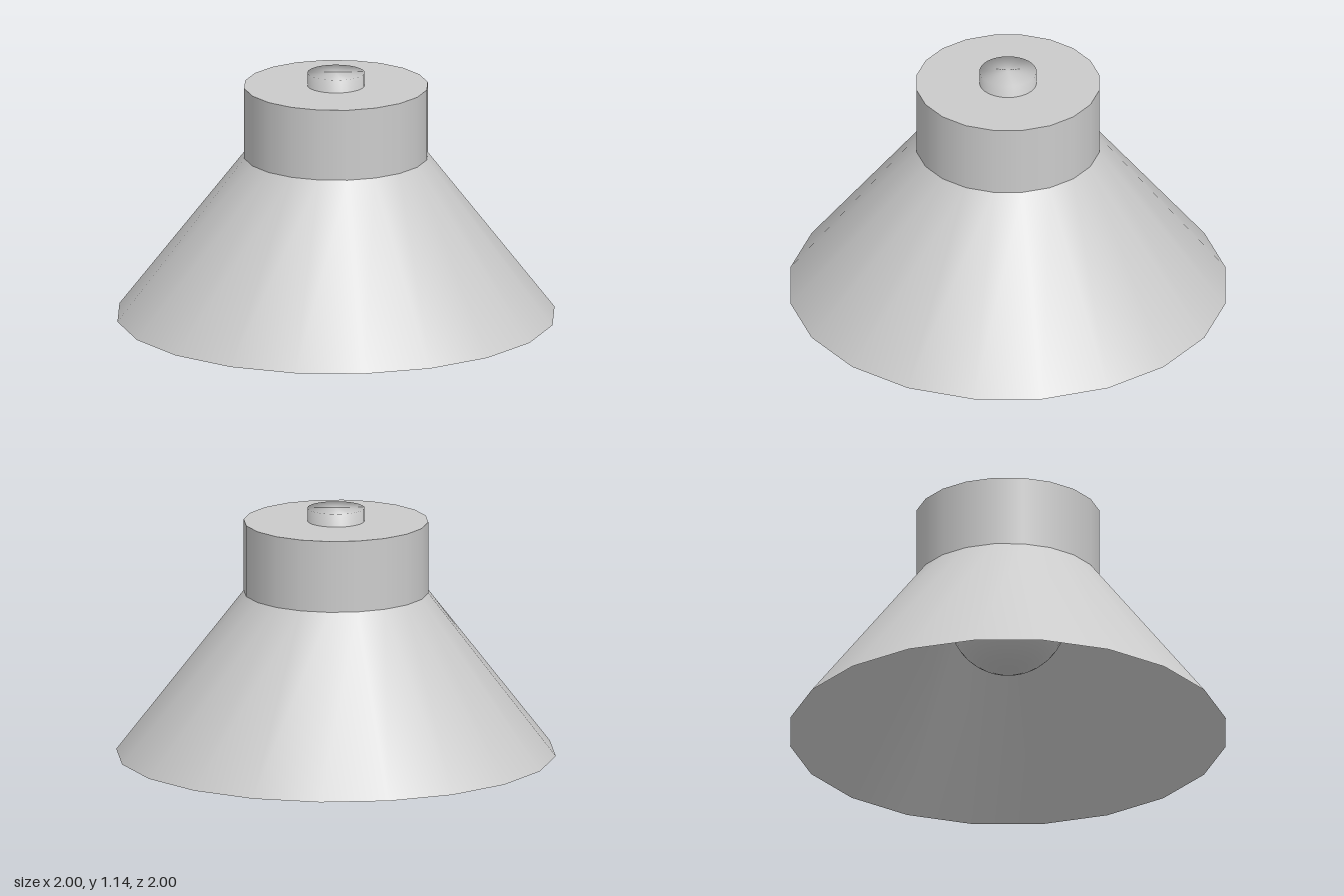
import * as THREE from 'three';

const SIDES = 20;

export function createModel() {
  const group = new THREE.Group();
  const material = new THREE.MeshStandardMaterial({ color: 0xcccccc, side: THREE.DoubleSide });

  const add = (name, geometry, y = 0) => {
    const mesh = new THREE.Mesh(geometry, material);
    mesh.name = name;
    mesh.position.y = y;
    group.add(mesh);
  };

  // Thin flared shade, open at the bottom
  add('shade', new THREE.CylinderGeometry(0.42, 1, 0.75, SIDES, 1, true), 0.375);

  // Hollow collar above the shade, closed by a flat lid
  add('collar', new THREE.CylinderGeometry(0.42, 0.42, 0.33, SIDES, 1, true), 0.915);
  add('collarLid', new THREE.CircleGeometry(0.42, SIDES).rotateX(-Math.PI / 2), 1.08);

  // Round bulb whose neck passes up through the lid, softly shaded throughout
  const radius = 0.27, neck = 0.13, centre = 0.58, steps = 16;
  const end = Math.PI - Math.asin(neck / radius);
  const profile = [];
  for (let i = 0; i <= steps; i++) {
    const a = (end * i) / steps;
    profile.push(new THREE.Vector2(radius * Math.sin(a), centre - radius * Math.cos(a)));
  }
  profile.push(new THREE.Vector2(neck, 1.14), new THREE.Vector2(0, 1.14));
  add('bulb', new THREE.LatheGeometry(profile, 32));

  return group;
}
